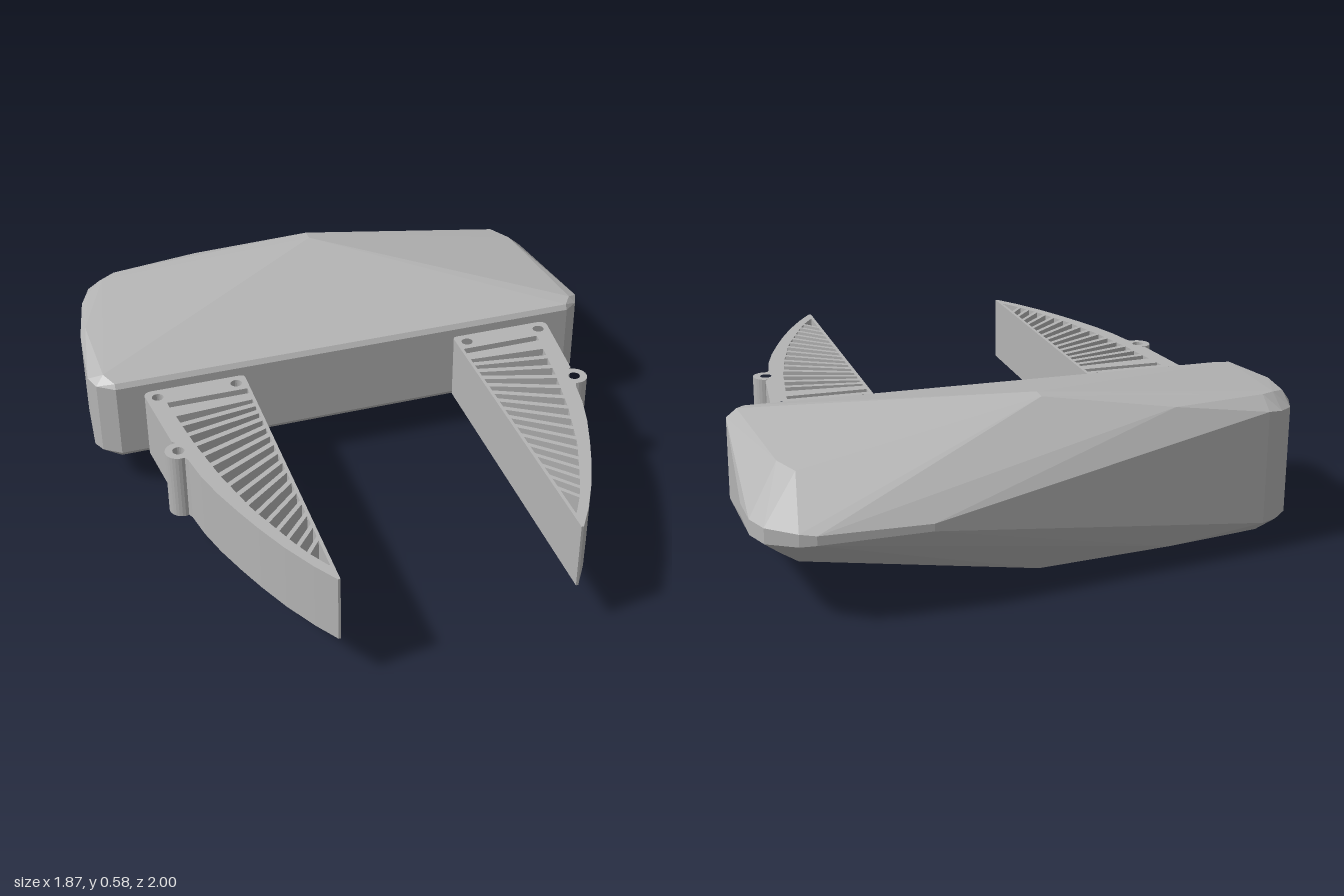
import * as THREE from 'three';
import { ConvexGeometry } from 'three/addons/geometries/ConvexGeometry.js';

const MID = 0.295; // height of the symmetry plane of the body

// Faceted body: hull of points [x, z, half height], mirrored above and below
function bodyGeometry() {
  const points = [
    // front face and its rounded border
    [0.83, -0.158, 0.135], [-0.86, -0.158, 0.135], [0.83, -0.17, 0.152], [-0.86, -0.17, 0.152],
    [0.88, -0.195, 0.135], [-0.92, -0.2, 0.135], [0.86, -0.21, 0.158], [-0.89, -0.22, 0.165],
    [0.9, -0.24, 0.14], [-0.94, -0.25, 0.14],
    // blunt end
    [-0.92, -0.5, 0.16], [-0.9, -0.5, 0.19], [-0.88, -0.69, 0.175], [-0.85, -0.7, 0.213],
    [-0.84, -0.78, 0.18], [-0.79, -0.82, 0.185], [-0.79, -0.75, 0.228], [-0.74, -0.833, 0.19],
    [-0.74, -0.78, 0.233],
    // peaks and the crease behind them
    [0, -0.71, 0.29], [0, -0.755, 0.288], [-0.42, -0.825, 0.235],
    // wedge tip
    [0.82, -0.71, 0.15], [0.78, -0.8, 0.145],
    [0.41, -1, 0.012], [0.76, -1, 0.015], [0.81, -0.985, 0.02],
    [0.9, -0.92, 0.025], [0.93, -0.84, 0.025], [0.932, -0.7, 0.02],
  ];
  const hull = [];
  for (const [x, z, h] of points)
    for (const s of [-1, 1]) hull.push(new THREE.Vector3(x, MID + s * h, z));
  return new ConvexGeometry(hull);
}

// Points on an arc, angles in degrees
function arc(cx, cz, r, from, to, n) {
  return Array.from({ length: n + 1 }, (_, i) => {
    const a = THREE.MathUtils.degToRad(from + (to - from) * i / n);
    return [cx + r * Math.cos(a), cz + r * Math.sin(a)];
  });
}

// Inner edge of the curved outer wall: x for a given z
const WALL = [[-0.06, -0.706], [0.2, -0.67], [0.4, -0.63], [0.6, -0.575], [0.8, -0.495], [0.95, -0.422]];
function wallX(z) {
  for (let i = 1; i < WALL.length; i++) {
    const [z0, x0] = WALL[i - 1], [z1, x1] = WALL[i];
    if (z <= z1) return x0 + (x1 - x0) * (z - z0) / (z1 - z0);
  }
  return -0.422;
}

// Where a sloping line from the straight wall meets the curved wall
function meetWall(z0, slope) {
  let z = z0;
  for (let i = 0; i < 30; i++) z = z0 + slope * (-0.421 - wallX(z));
  return [wallX(z), z];
}

// Fang-shaped blade with screw holes and slanting slots
function bladeGeometry(mapX) {
  const toPoints = list => list.map(([x, z]) => new THREE.Vector2(mapX(x), z));
  const outline = [
    ...arc(-0.745, -0.11, 0.025, 180, 270, 5), ...arc(-0.425, -0.12, 0.015, 270, 360, 4),
    [-0.41, 1], [-0.418, 1], [-0.47, 0.92], [-0.53, 0.81], [-0.58, 0.7], [-0.62, 0.6],
    [-0.66, 0.49], [-0.69, 0.385], [-0.708, 0.29],
    ...arc(-0.728, 0.23, 0.045, 75, 270, 14), [-0.738, 0.175],
  ];
  const shape = new THREE.Shape(toPoints(outline));
  const cut = list => shape.holes.push(new THREE.Path(toPoints(list)));

  // screw holes
  for (const [x, z] of [[-0.728, -0.092], [-0.45, -0.092], [-0.728, 0.23]])
    cut(arc(x, z, 0.02, 0, 360, 20).slice(0, -1));

  // slots between the slats
  cut([[-0.421, -0.05], [-0.704, -0.05], [-0.702, -0.02], [-0.421, -0.02]]);
  const count = 16;
  const slats = Array.from({ length: count }, (_, i) => {
    const t = i / (count - 1);
    return { z: 0.01 + 0.62 * t + 0.17 * t * t, slope: 0.06 + 1.2 * t, half: 0.011 };
  });
  for (let i = 0; i < count; i++) {
    const a = slats[i], b = slats[i + 1];
    const start = a.z + a.half;
    if (b) {
      const end = b.z - b.half;
      cut([[-0.421, start], meetWall(start, a.slope), meetWall(end, b.slope), [-0.421, end]]);
    } else {
      cut([[-0.421, start], meetWall(start, a.slope), [-0.425, 0.93], [-0.421, 0.93]]);
    }
  }
  const geometry = new THREE.ExtrudeGeometry(shape, { depth: 0.24, bevelEnabled: false });
  return geometry.rotateX(Math.PI / 2).translate(0, 0.415, 0);
}

export function createModel() {
  const grey = new THREE.MeshStandardMaterial({ color: 0xb4b4b4 });
  grey.name = 'grey';
  const model = new THREE.Group();
  model.name = 'clawedBody';
  const add = (name, geometry) => {
    const mesh = new THREE.Mesh(geometry, grey);
    mesh.name = name;
    model.add(mesh);
  };
  add('body', bodyGeometry());
  add('rightBlade', bladeGeometry(x => x));
  add('leftBlade', bladeGeometry(x => -0.04 - x)); // mirrored about x = -0.02
  return model;
}
